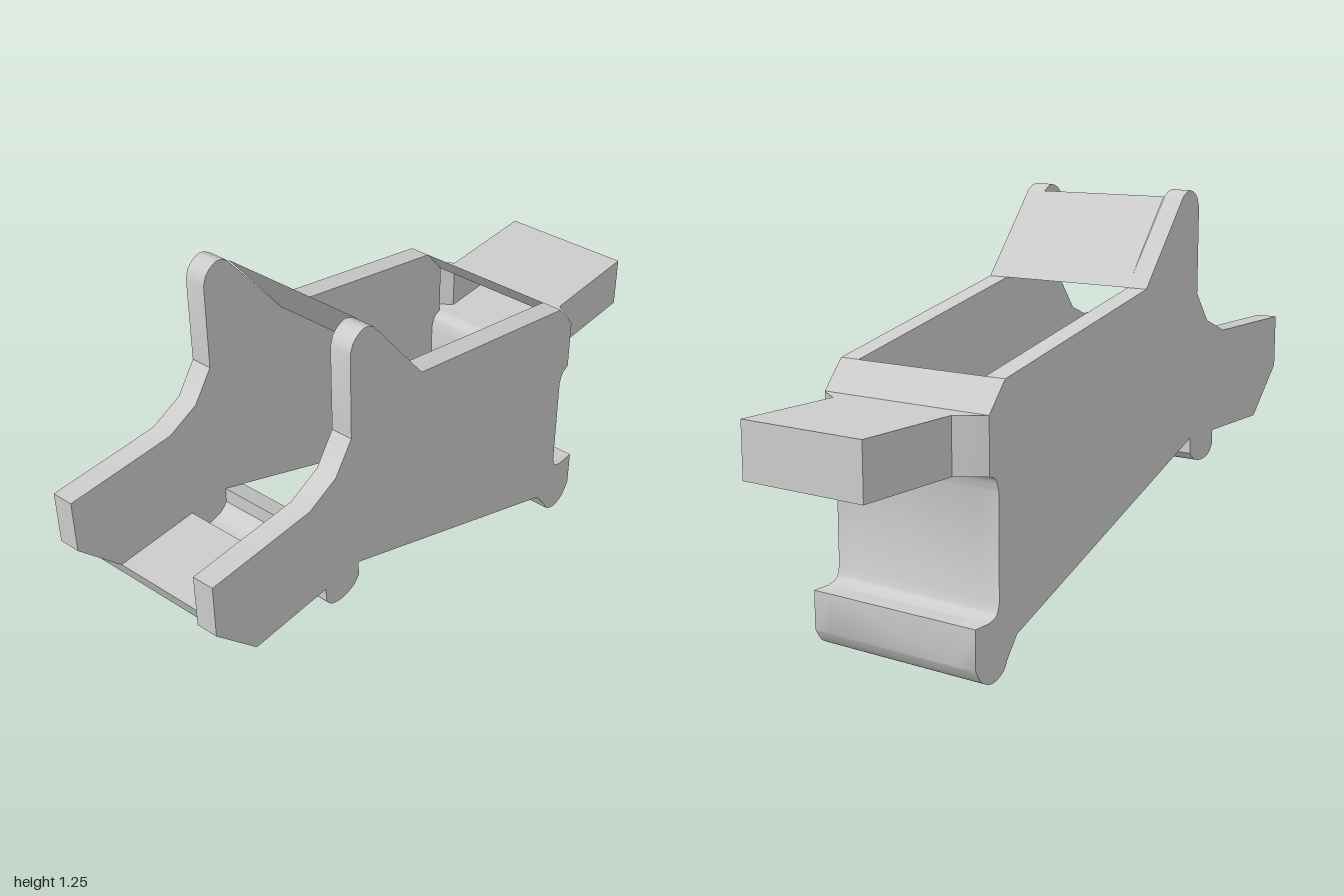
import * as THREE from 'three';
import { toCreasedNormals } from 'three/addons/utils/BufferGeometryUtils.js';

const OUTER = 0.285, INNER = 0.22;
const material = new THREE.MeshStandardMaterial({ color: 0xcccccc, side: THREE.DoubleSide });

const points = (list) => list.map(([a, b]) => new THREE.Vector2(a, b));

// Smooth bend through a few points, in (z, y)
const bend = (list, n = 10) => new THREE.SplineCurve(points(list)).getPoints(n);

function mesh(name, geometry, crease = 0.6) {
  const m = new THREE.Mesh(toCreasedNormals(geometry, crease), material);
  m.name = name;
  return m;
}

// Thin sheet that follows a (z, y) profile and spans the gap between the plates
function sheet(name, profile, half = INNER) {
  const g = new THREE.PlaneGeometry(1, 1, 1, profile.length - 1);
  const p = g.attributes.position;
  for (let i = 0; i < p.count; i++) {
    const q = profile[i >> 1];
    p.setXYZ(i, i % 2 ? half : -half, q.y, q.x);
  }
  return mesh(name, g);
}

export function createModel() {
  const group = new THREE.Group();

  // Stretches of the side outline, reused by the cross sheets
  const horn = bend([[0.465, 1.2], [0.45, 1.235], [0.41, 1.254], [0.375, 1.24], [0.365, 1.23]]);
  const ramp = points([[0.365, 1.235], [0.165, 0.98]]);
  const bridge = points([[-0.53, 0.82], [-0.6, 0.735]]);
  const rear = [
    ...bend([[-0.6, 0.572], [-0.573, 0.56], [-0.56, 0.525]]),
    ...bend([[-0.56, 0.22], [-0.572, 0.188], [-0.605, 0.175]]),
  ];
  const foot = [
    ...points([[-0.605, 0.175], [-0.665, 0.175]]),
    ...bend([[-0.665, 0.06], [-0.638, 0.02], [-0.592, 0.003], [-0.545, 0.02], [-0.525, 0.05]], 14),
    ...points([[-0.48, 0.11]]),
  ];
  const trough = [
    ...points([[0.44, 0.485]]),
    ...bend([[0.44, 0.435], [0.465, 0.412], [0.51, 0.402], [0.555, 0.412], [0.58, 0.44]], 14),
    ...points([[0.58, 0.485]]),
  ];

  // Two side plates
  const outline = [
    ...points([[1, 0.8], [0.635, 0.8], [0.53, 0.845], [0.465, 0.935]]),
    ...horn, ramp[1], ...bridge, ...rear, ...foot.slice(1), ...trough,
    ...points([[0.86, 0.485], [1, 0.635]]),
  ];
  const thickness = OUTER - INNER;
  for (const [name, x] of [['leftSidePlate', OUTER], ['rightSidePlate', -INNER]]) {
    const g = new THREE.ExtrudeGeometry(new THREE.Shape(outline), { depth: thickness, bevelEnabled: false });
    g.rotateY(-Math.PI / 2).translate(x, 0, 0);
    group.add(mesh(name, g));
  }

  // Sheets joining the plates
  group.add(
    sheet('topRamp', ramp),
    sheet('rearBridge', bridge),
    sheet('rearWall', rear),
    sheet('rearFoot', foot),
    sheet('bottomTrough', [...points([[0.365, 0.454]]), ...trough]),
    sheet('frontTray', points([[0.58, 0.485], [0.86, 0.485], [0.93, 0.56]])),
  );

  // Hollow rear tongue with a flared neck, plan in (x, z)
  const low = 0.572, high = 0.735;
  const half = [[OUTER, -0.6], [0.262, -0.618], [0.205, -0.655], [0.205, -1]];
  const plan = points([...half, ...half.map(([x, z]) => [-x, z]).reverse()]);
  const tongue = new THREE.Group();
  tongue.name = 'rearTongue';
  const wall = new THREE.PlaneGeometry(1, 1, 1, plan.length - 1);
  const p = wall.attributes.position;
  for (let i = 0; i < p.count; i++) {
    const q = plan[i >> 1];
    p.setXYZ(i, q.x, i % 2 ? low : high, q.y);
  }
  tongue.add(mesh('tongueWalls', wall, 0.4));
  for (const [name, y] of [['tongueTop', high], ['tongueBottom', low]]) {
    const g = new THREE.ShapeGeometry(new THREE.Shape(plan));
    g.rotateX(Math.PI / 2).translate(0, y, 0);
    // The top faces up, the bottom faces down
    if (y === high) g.setIndex([...g.index.array].reverse());
    tongue.add(mesh(name, g));
  }
  group.add(tongue);
  return group;
}
